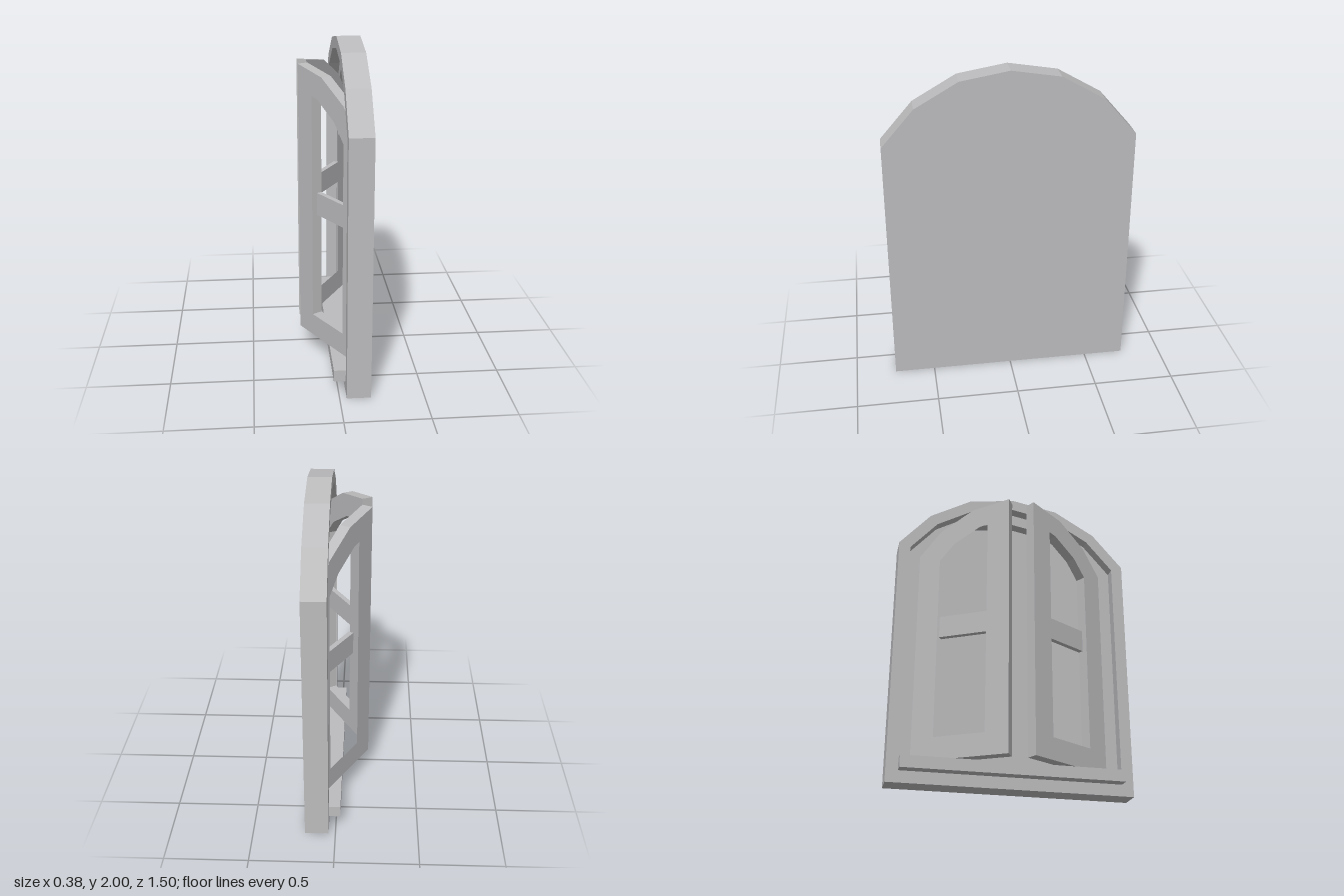
import * as THREE from 'three';

// Half of the arch from springing line to apex, with the direction each point moves when inset
const ARCH = [
  { p: [0.75, 1.575], m: [1, 0.373] },
  { p: [0.555, 1.8], m: [0.646, 0.782] },
  { p: [0.295, 1.95], m: [0.344, 0.956] },
  { p: [0, 2], m: [0, 1.014] },
];
const STEP = 0.0725;      // width of each frame step
const THICK = 0.067;      // shutter thickness
const SEAT = -0.11;       // depth at which the shutters close

const archPoints = (d) => ARCH.map(({ p, m }) => [p[0] - d * m[0], p[1] - d * m[1]]);
const toVectors = (pts) => pts.map(([x, y]) => new THREE.Vector2(x, y));

// Full arched outline, inset by d
function fullArch(d) {
  const half = archPoints(d);
  const mirrored = half.slice(0, -1).reverse().map(([x, y]) => [-x, y]);
  return toVectors([[-0.75 + d, d], [0.75 - d, d], ...half, ...mirrored]);
}

// Half arch for one shutter, inset by d, with its meeting edge at x = edge
function halfArch(d, edge, side) {
  const pts = archPoints(d);
  const [a, b] = [pts[2], pts[3]];
  const topY = b[1] + (a[1] - b[1]) * (edge / a[0]);
  const outline = [[edge, d], [0.75 - d, d], ...pts.slice(0, 3), [edge, topY]];
  return toVectors(outline.map(([x, y]) => [x * side, y]));
}

function extrude(name, outline, hole, from, to, material) {
  const shape = new THREE.Shape(outline);
  if (hole) shape.holes.push(new THREE.Path(hole));
  const geo = new THREE.ExtrudeGeometry(shape, { depth: to - from, bevelEnabled: false });
  geo.translate(0, 0, from);
  const mesh = new THREE.Mesh(geo, material);
  mesh.name = name;
  return mesh;
}

function box(name, w, h, d, x, y, z, material) {
  const mesh = new THREE.Mesh(new THREE.BoxGeometry(w, h, d), material);
  mesh.name = name;
  mesh.position.set(x, y, z);
  return mesh;
}

export function createModel() {
  const stone = new THREE.MeshStandardMaterial({ color: 0xbcbcbe });
  stone.name = 'plain grey';

  const model = new THREE.Group();
  model.name = 'archedWindow';

  // Built facing +z, then turned so the shutters open towards -x
  const body = new THREE.Group();
  body.name = 'windowBody';
  body.rotation.y = -Math.PI / 2;
  model.add(body);

  // Stepped frame: backing, inner rebate, outer rim
  body.add(extrude('backPanel', fullArch(0), null, -0.185, -0.178, stone));
  body.add(extrude('innerFrame', fullArch(0), fullArch(STEP * 2), -0.178, SEAT, stone));
  body.add(extrude('outerFrame', fullArch(0), fullArch(STEP), SEAT, -0.042, stone));

  // Sill filling the lower step and projecting past the rim
  body.add(box('sill', 1.355, STEP, 0.138, 0, STEP * 1.5, -0.041, stone));

  // Two half-arched shutters, each hinged at its outer edge and opened by 30 degrees
  const hinge = 0.75 - STEP * 2;
  for (const side of [1, -1]) {
    const shutter = new THREE.Group();
    shutter.name = side > 0 ? 'leftShutter' : 'rightShutter';
    shutter.position.set(side * hinge, 0, SEAT);
    shutter.rotation.y = side * Math.PI / 6;

    const frame = extrude('shutterFrame', halfArch(STEP * 2, 0, side),
      halfArch(0.285, 0.145, side), -THICK, 0, stone);
    const bar = box('crossbar', 0.32, 0.14, 0.032, side * 0.305, 1.015, -0.051, stone);
    for (const part of [frame, bar]) {
      part.position.x -= side * hinge;
      shutter.add(part);
    }
    body.add(shutter);
  }
  return model;
}
